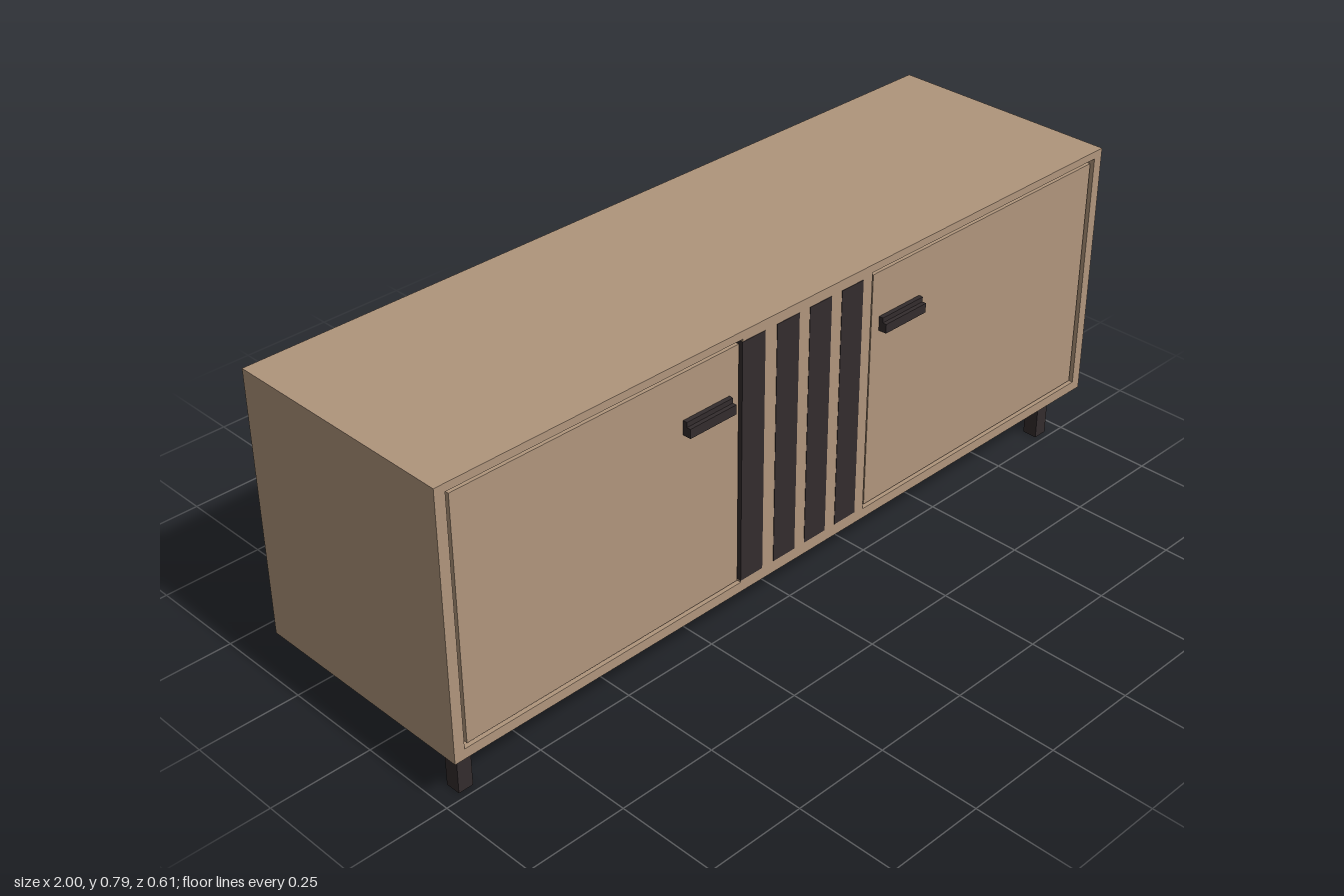
import * as THREE from 'three';

export function createModel() {
  const model = new THREE.Group();
  model.name = 'sideboard';
  const wood = new THREE.MeshStandardMaterial({ name: 'wood', color: 0xb0957c });
  const dark = new THREE.MeshStandardMaterial({ name: 'darkMetal', color: 0x332c2d });

  const add = (name, geometry, material, parent = model) => {
    const mesh = new THREE.Mesh(geometry, material);
    mesh.name = name;
    parent.add(mesh);
    return mesh;
  };
  // Box given by its lower and upper limits on each axis
  const box = (name, material, [x0, x1], [y0, y1], [z0, z1], parent) => {
    const mesh = add(name, new THREE.BoxGeometry(x1 - x0, y1 - y0, z1 - z0), material, parent);
    mesh.position.set((x0 + x1) / 2, (y0 + y1) / 2, (z0 + z1) / 2);
    return mesh;
  };

  const FRONT = 0.289, BACK = -0.305;

  // Outer shell: a rectangular tube open at front and back
  const rectangle = (Type, x, y0, y1) => new Type([
    new THREE.Vector2(-x, y0), new THREE.Vector2(x, y0),
    new THREE.Vector2(x, y1), new THREE.Vector2(-x, y1),
  ]);
  const outline = rectangle(THREE.Shape, 1, 0.138, 0.793);
  outline.holes.push(rectangle(THREE.Path, 0.974, 0.163, 0.774));
  const shell = add('shell', new THREE.ExtrudeGeometry(outline,
    { depth: FRONT - BACK, bevelEnabled: false }), wood);
  shell.position.z = BACK;

  // Core closes the shell, leaving a groove in front and a recess behind
  box('core', wood, [-0.974, 0.974], [0.163, 0.774], [BACK + 0.024, FRONT - 0.022]);
  box('centrePost', wood, [-0.2, 0.195], [0.163, 0.774], [BACK, FRONT]);

  // Dark vertical slats running through the centre post
  for (const x of [-0.201, -0.099, 0, 0.099]) {
    box('slat', dark, [x, x + 0.067], [0.168, 0.768], [BACK - 0.001, FRONT + 0.001]);
  }

  // Doors with a narrow gap around them
  box('rightDoor', wood, [-0.964, -0.207], [0.17, 0.764], [FRONT - 0.04, FRONT - 0.004]);
  box('leftDoor', wood, [0.203, 0.964], [0.17, 0.764], [FRONT - 0.04, FRONT - 0.004]);

  // Handles: a thin back plate with a bar along its lower part
  for (const x of [-0.3, 0.294]) {
    const handle = new THREE.Group();
    handle.name = 'handle';
    model.add(handle);
    const span = [x - 0.066, x + 0.066];
    box('handlePlate', dark, span, [0.617, 0.652], [FRONT - 0.006, 0.296], handle);
    box('handleBar', dark, span, [0.617, 0.64], [0.296, 0.306], handle);
  }

  // Corner legs: the rear pair stands further in
  for (const side of [-1, 1]) {
    for (const [name, x, z] of [['frontLeg', 0.936, 0.214], ['backLeg', 0.875, -0.228]]) {
      const leg = add(name, new THREE.BoxGeometry(0.037, 0.14, 0.038), dark);
      leg.position.set(side * x, 0.07, z);
    }
  }

  // Round middle support foot below its mounting disc
  const foot = add('middleFoot', new THREE.CylinderGeometry(0.021, 0.021, 0.115, 24), dark);
  foot.position.set(0.193, 0.0575, 0);
  const disc = add('middleFootDisc', new THREE.CylinderGeometry(0.026, 0.026, 0.016, 24), dark);
  disc.position.set(0.193, 0.13, 0);

  return model;
}
